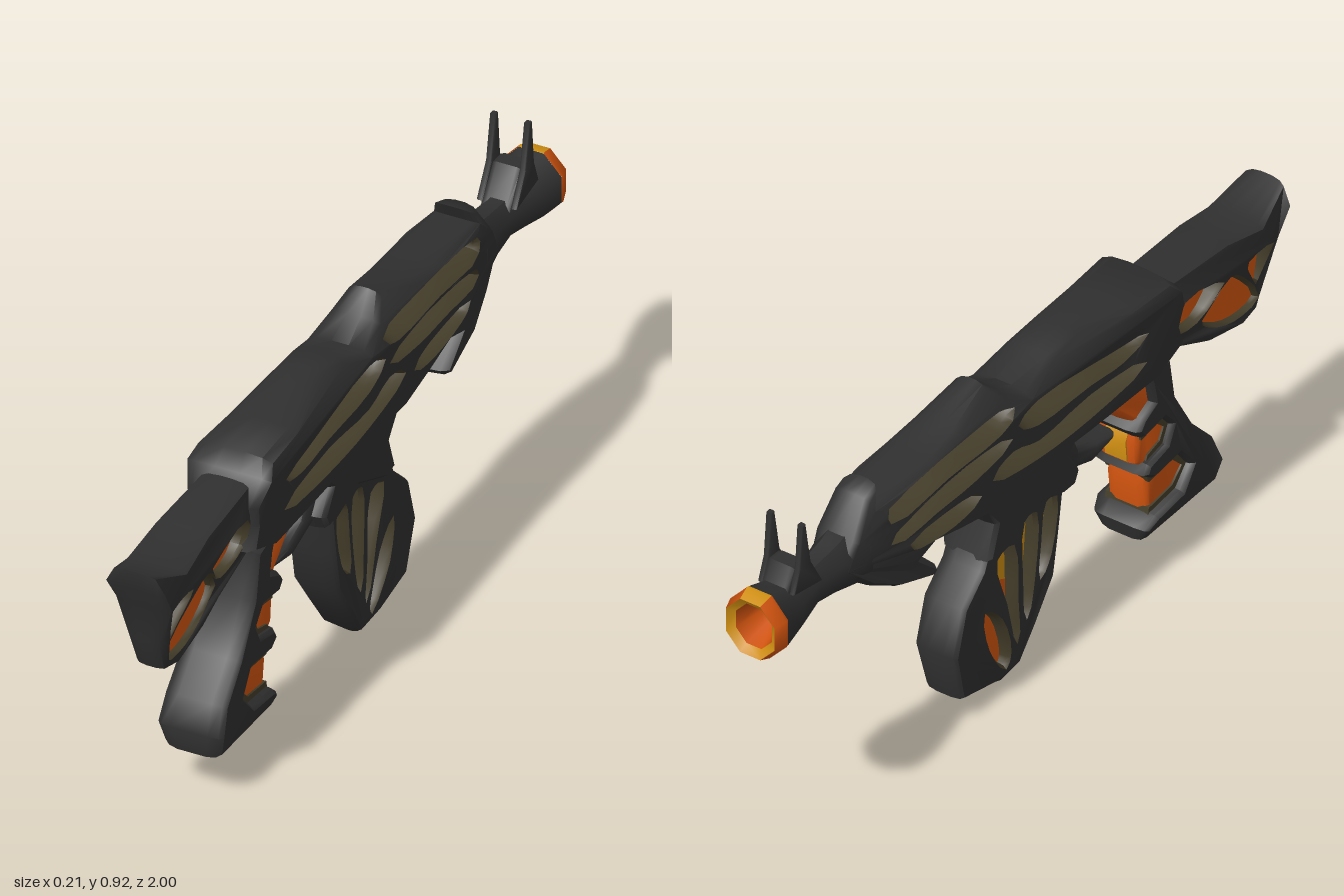
import * as THREE from 'three';
import { toCreasedNormals } from 'three/addons/utils/BufferGeometryUtils.js';

const paint = (name, color) => Object.assign(new THREE.MeshStandardMaterial({ color }), { name });
const dark = paint('charcoal', 0x303030);
const olive = paint('dark olive', 0x443d2a);
const orange = paint('ember orange', 0xd2540f);
const gold = paint('amber gold', 0xd08f12);

const V2 = ([z, y]) => new THREE.Vector2(z, y);
const ramp = (v, a, b) => THREE.MathUtils.clamp((v - a) / (b - a), 0, 1);

// Closed smooth loop through a few points
function loop(pts) {
  const curve = new THREE.CatmullRomCurve3(pts.map(([z, y]) => new THREE.Vector3(z, y, 0)), true);
  return curve.getPoints(pts.length * 3).slice(0, -1).map(p => new THREE.Vector2(p.x, p.y));
}

// Slab with a [z, y] outline, spanning x = -half..half; hole walls take the second material.
// width(z, y) scales the thickness along the slab.
function slab(name, outline, half, { holes = [], mats = [dark, olive], bevel = 0.012, round = 0.035, width, x = 0 } = {}) {
  const shape = new THREE.Shape(outline.map(V2));
  shape.holes = holes.map(h => new THREE.Path(loop(h)));
  const segs = bevel ? 2 : 0;
  const flat = half - (bevel ? round : 0);
  const geo = new THREE.ExtrudeGeometry(shape, {
    depth: 2 * flat, bevelEnabled: bevel > 0, bevelSize: bevel,
    bevelOffset: -bevel, bevelThickness: round, bevelSegments: segs, steps: 1,
  });
  geo.translate(0, 0, -flat);
  geo.rotateY(-Math.PI / 2);
  const p = geo.attributes.position;
  if (width) for (let i = 0; i < p.count; i++) p.setX(i, p.getX(i) * width(p.getZ(i), p.getY(i)));
  geo.translate(x, 0, 0);
  // caps and outer wall first, hole walls after
  const outer = geo.groups[0].count + outline.length * (1 + 2 * segs) * 6;
  geo.clearGroups();
  geo.addGroup(0, Math.min(outer, p.count), 0);
  if (outer < p.count) geo.addGroup(outer, p.count - outer, 1);
  const mesh = new THREE.Mesh(toCreasedNormals(geo, 0.8), mats);
  mesh.name = name;
  return mesh;
}

// Solid coloured insert seen through openings
const insert = (name, outline, half, mat) => slab(name, outline, half, { mats: [mat, mat], bevel: 0 });

// Turned part along the barrel; points are [radius, distance towards the muzzle], facet 0 faces up
function turned(name, pts, mat, first = 0, count = 8) {
  const step = Math.PI / 4;
  const geo = new THREE.LatheGeometry(pts.map(V2), count, (first - 0.5) * step, count * step);
  geo.rotateX(-Math.PI / 2).scale(1, 1.1, 1).translate(0, 0.695, 0);
  const mesh = new THREE.Mesh(toCreasedNormals(geo, 0.85), mat);
  mesh.name = name;
  return mesh;
}

// Tube of elliptical sections [z, centre y, half width, half height], muzzle end first
function loft(name, sections, sides, mat) {
  const geo = new THREE.CylinderGeometry(1, 1, 1, sides, sections.length - 1, true, Math.PI / sides);
  const p = geo.attributes.position;
  for (let i = 0; i < p.count; i++) {
    const [z, y, rx, ry] = sections[Math.floor(i / (sides + 1))];
    p.setXYZ(i, p.getX(i) * rx, y + p.getZ(i) * ry, z);
  }
  const mesh = new THREE.Mesh(toCreasedNormals(geo, 0.85), mat);
  mesh.name = name;
  return mesh;
}

export function createModel() {
  const model = new THREE.Group();
  model.name = 'organicRifle';

  // Receiver: woven struts with narrow gaps, thinning at the top and towards the barrel
  const receiverWidth = (z, y) => {
    const top = 1 - 0.6 * ramp(y, 0.785, 0.885);
    const nose = 1 - 0.4 * ramp(-z, 0.5, 0.7);
    const shoulder = 1 + 0.27 * ramp(y, 0.7, 0.78) * ramp(z, 0.2, 0.45);
    return top * nose * shoulder;
  };
  model.add(slab('receiver', [
    [0.57, 0.72], [0.535, 0.785], [0.5, 0.82], [0.36, 0.82], [0.185, 0.855], [0.08, 0.84], [-0.02, 0.805],
    [-0.09, 0.84], [-0.14, 0.885], [-0.28, 0.845], [-0.38, 0.83], [-0.58, 0.82], [-0.56, 0.86], [-0.61, 0.845],
    [-0.67, 0.76], [-0.71, 0.69], [-0.62, 0.61], [-0.53, 0.56], [-0.4, 0.515],
    [-0.375, 0.54], [-0.45, 0.6], [-0.4, 0.61], [-0.3, 0.585], [-0.18, 0.56], [0, 0.57], [0.2, 0.56],
    [0.46, 0.555], [0.575, 0.6], [0.555, 0.66],
  ], 0.085, {
    bevel: 0.014, round: 0.06, width: receiverWidth,
    holes: [
      [[0.4, 0.715], [0.25, 0.735], [0, 0.765], [-0.06, 0.75], [0, 0.722], [0.2, 0.712], [0.33, 0.7]],
      [[-0.1, 0.797], [-0.25, 0.803], [-0.55, 0.785], [-0.55, 0.771], [-0.35, 0.78], [-0.15, 0.779]],
      [[-0.12, 0.728], [-0.28, 0.745], [-0.5, 0.727], [-0.54, 0.706], [-0.4, 0.71], [-0.25, 0.71]],
      [[0.4, 0.635], [0.2, 0.66], [0, 0.65], [-0.1, 0.678], [-0.16, 0.66], [0, 0.628], [0.2, 0.62]],
      [[-0.24, 0.642], [-0.3, 0.658], [-0.48, 0.662], [-0.45, 0.648], [-0.32, 0.632]],
    ],
  }));

  // Stock: open frame with a glowing core, wide comb and thin lower bar
  model.add(slab('stock', [
    [1, 0.78], [0.88, 0.735], [0.757, 0.76], [0.54, 0.77], [0.49, 0.59], [0.58, 0.553], [0.73, 0.484],
    [0.853, 0.457], [0.91, 0.473], [0.944, 0.564], [0.954, 0.66], [0.995, 0.725],
  ], 0.075, {
    bevel: 0.009, round: 0.05,
    width: (z, y) => (0.53 + 0.47 * ramp(y, 0.55, 0.68)) * (1 - 0.5 * ramp(y, 0.74, 0.79)),
    holes: [
      [[0.928, 0.648], [0.845, 0.652], [0.872, 0.603], [0.92, 0.545]],
      [[0.903, 0.508], [0.822, 0.61], [0.765, 0.648], [0.695, 0.575], [0.73, 0.537], [0.82, 0.5]],
      [[0.73, 0.655], [0.585, 0.69], [0.572, 0.62], [0.66, 0.592]],
    ],
  }));
  model.add(insert('stockCore', [[0.94, 0.67], [0.56, 0.71], [0.56, 0.6], [0.74, 0.51], [0.9, 0.485]], 0.025, orange));

  // Grip: dark shell with lined finger notches over a glowing core
  model.add(slab('grip', [
    [0.53, 0.58], [0.55, 0.46], [0.62, 0.34], [0.695, 0.26], [0.725, 0.19], [0.71, 0.125], [0.435, 0.11],
    [0.425, 0.15], [0.46, 0.18], [0.56, 0.19], [0.6, 0.235], [0.56, 0.285], [0.46, 0.275], [0.425, 0.3],
    [0.44, 0.33], [0.51, 0.345], [0.53, 0.385], [0.5, 0.42], [0.42, 0.41], [0.395, 0.44], [0.42, 0.47],
    [0.46, 0.49], [0.45, 0.54], [0.43, 0.6],
  ], 0.078, { width: (z, y) => (1.09 - 0.12 * ramp(y, 0.17, 0.28)) * (0.7 + 0.3 * ramp(y, 0.11, 0.165)) }));
  model.add(insert('gripLining', [
    [0.66, 0.2], [0.62, 0.15], [0.45, 0.14], [0.46, 0.192], [0.55, 0.202], [0.588, 0.237], [0.552, 0.273],
    [0.46, 0.264], [0.44, 0.31], [0.455, 0.342], [0.502, 0.355], [0.518, 0.385], [0.492, 0.408], [0.43, 0.398],
    [0.43, 0.45], [0.5, 0.5], [0.56, 0.4], [0.62, 0.3],
  ], 0.06, olive));
  model.add(slab('gripCore', [
    [0.5, 0.58], [0.285, 0.585], [0.38, 0.48], [0.43, 0.44], [0.415, 0.39], [0.42, 0.33], [0.46, 0.3],
    [0.45, 0.25], [0.46, 0.17], [0.63, 0.17], [0.55, 0.42],
  ], 0.055, { mats: [orange, orange], round: 0.025 }));
  model.add(insert('gripGlow', [[0.425, 0.42], [0.411, 0.39], [0.416, 0.335], [0.44, 0.335], [0.44, 0.42]], 0.03, gold));

  // Trigger guard and magazine housing
  model.add(slab('triggerGuard', [
    [0.37, 0.45], [0.3, 0.455], [0.23, 0.48], [0.19, 0.57], [0.12, 0.57], [0.17, 0.45], [0.28, 0.415], [0.36, 0.43],
  ], 0.035, { bevel: 0.01, round: 0.02 }));
  model.add(slab('magazineHousing', [
    [0.19, 0.58], [-0.19, 0.57], [-0.14, 0.5], [-0.17, 0.41], [-0.12, 0.4], [0.02, 0.46], [0.12, 0.43],
    [0.17, 0.43], [0.19, 0.47], [0.15, 0.53],
  ], 0.068));

  // Magazine: slanted slots over gold and orange cores, narrowing to a keel
  model.add(slab('magazine', [
    [0.14, 0.46], [0.12, 0.33], [0.1, 0.22], [0.03, 0.12], [-0.02, 0.045], [-0.07, 0.003], [-0.125, 0.04],
    [-0.25, 0.07], [-0.285, 0.205], [-0.25, 0.325], [-0.18, 0.39], [-0.14, 0.48], [0, 0.5],
  ], 0.058, {
    bevel: 0.009, round: 0.036,
    width: (z, y) => 0.25 + 0.6 * ramp(y, 0, 0.035) + 0.15 * ramp(y, 0.035, 0.15),
    holes: [
      [[0.1, 0.43], [0.072, 0.435], [0.055, 0.34], [0.048, 0.25], [0.078, 0.29]],
      [[0.022, 0.43], [-0.01, 0.43], [-0.015, 0.28], [-0.008, 0.17], [0.014, 0.26]],
      [[-0.065, 0.39], [-0.115, 0.385], [-0.077, 0.25], [-0.043, 0.12], [-0.05, 0.22]],
      [[-0.165, 0.26], [-0.145, 0.16], [-0.08, 0.07], [-0.073, 0.1], [-0.11, 0.21]],
    ],
  }));
  model.add(insert('magazineUpperCore', [[0.11, 0.45], [0.09, 0.22], [-0.02, 0.27], [-0.17, 0.34], [-0.13, 0.45]], 0.026, gold));
  model.add(insert('magazineLowerCore', [[0.09, 0.22], [0.03, 0.14], [-0.07, 0.045], [-0.16, 0.1], [-0.2, 0.3], [-0.17, 0.34], [-0.02, 0.27]], 0.026, orange));

  // Barrel: waisted tube growing out of the receiver
  model.add(loft('barrel', [
    [-0.96, 0.695, 0.083, 0.091], [-0.88, 0.692, 0.067, 0.07], [-0.79, 0.692, 0.046, 0.054],
    [-0.7, 0.692, 0.054, 0.068], [-0.62, 0.695, 0.07, 0.09], [-0.56, 0.69, 0.06, 0.07],
  ], 8, dark));

  // Muzzle: faceted band, gold above and below, with a glowing bore
  const band = [[0.083, 0.96], [0.084, 0.968], [0.073, 1]];
  model.add(turned('muzzleBandTop', band, gold, 0, 1));
  model.add(turned('muzzleBandLeft', band, orange, 1, 3));
  model.add(turned('muzzleBandBottom', band, gold, 4, 1));
  model.add(turned('muzzleBandRight', band, orange, 5, 3));
  model.add(turned('muzzleRim', [[0.073, 1], [0.054, 0.985]], gold));
  model.add(turned('muzzleBore', [[0.054, 0.985], [0.034, 0.9]], orange));
  model.add(turned('boreFloor', [[0.034, 0.9], [0, 0.9]], gold));

  // Front sight: two thorns on a raised saddle
  const thorn = [[-0.79, 0.73], [-0.835, 0.81], [-0.855, 0.925], [-0.868, 0.925], [-0.878, 0.81], [-0.9, 0.75]];
  for (const side of [-1, 1]) {
    model.add(slab(side > 0 ? 'leftSightThorn' : 'rightSightThorn', thorn, 0.008, { bevel: 0.003, round: 0.004, x: side * 0.043 }));
  }
  model.add(slab('sightSaddle', [[-0.78, 0.72], [-0.84, 0.81], [-0.88, 0.81], [-0.91, 0.75], [-0.86, 0.72]], 0.04, { round: 0.015 }));
  return model;
}
